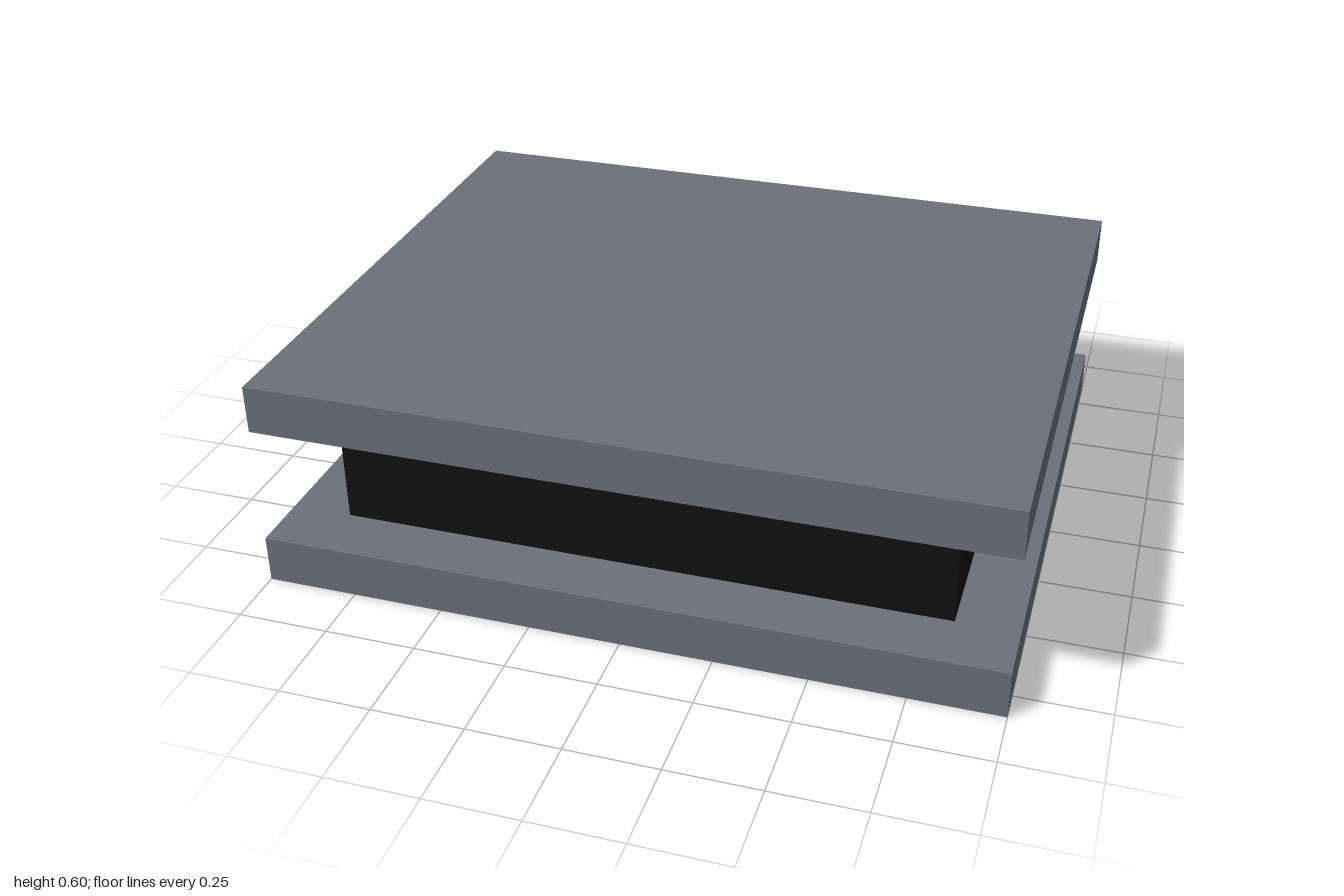
import * as THREE from 'three';

export function createModel() {
  const model = new THREE.Group();
  model.name = 'sandwichBearing';

  const steel = new THREE.MeshStandardMaterial({ color: 0x6b707a });
  steel.name = 'steel grey';
  const rubber = new THREE.MeshStandardMaterial({ color: 0x111111 });
  rubber.name = 'rubber black';

  // Adds a box whose underside sits at height y
  const addBlock = (name, width, height, depth, y, material) => {
    const mesh = new THREE.Mesh(new THREE.BoxGeometry(width, height, depth), material);
    mesh.name = name;
    mesh.position.y = y + height / 2;
    model.add(mesh);
  };

  const plate = 0.1333;
  const core = 0.3333;

  // Two wide plates with a smaller block between them
  addBlock('bottomPlate', 2, plate, 1.6667, 0, steel);
  addBlock('coreBlock', 1.6667, core, 1.3333, plate, rubber);
  addBlock('topPlate', 2, plate, 1.6667, plate + core, steel);

  return model;
}
